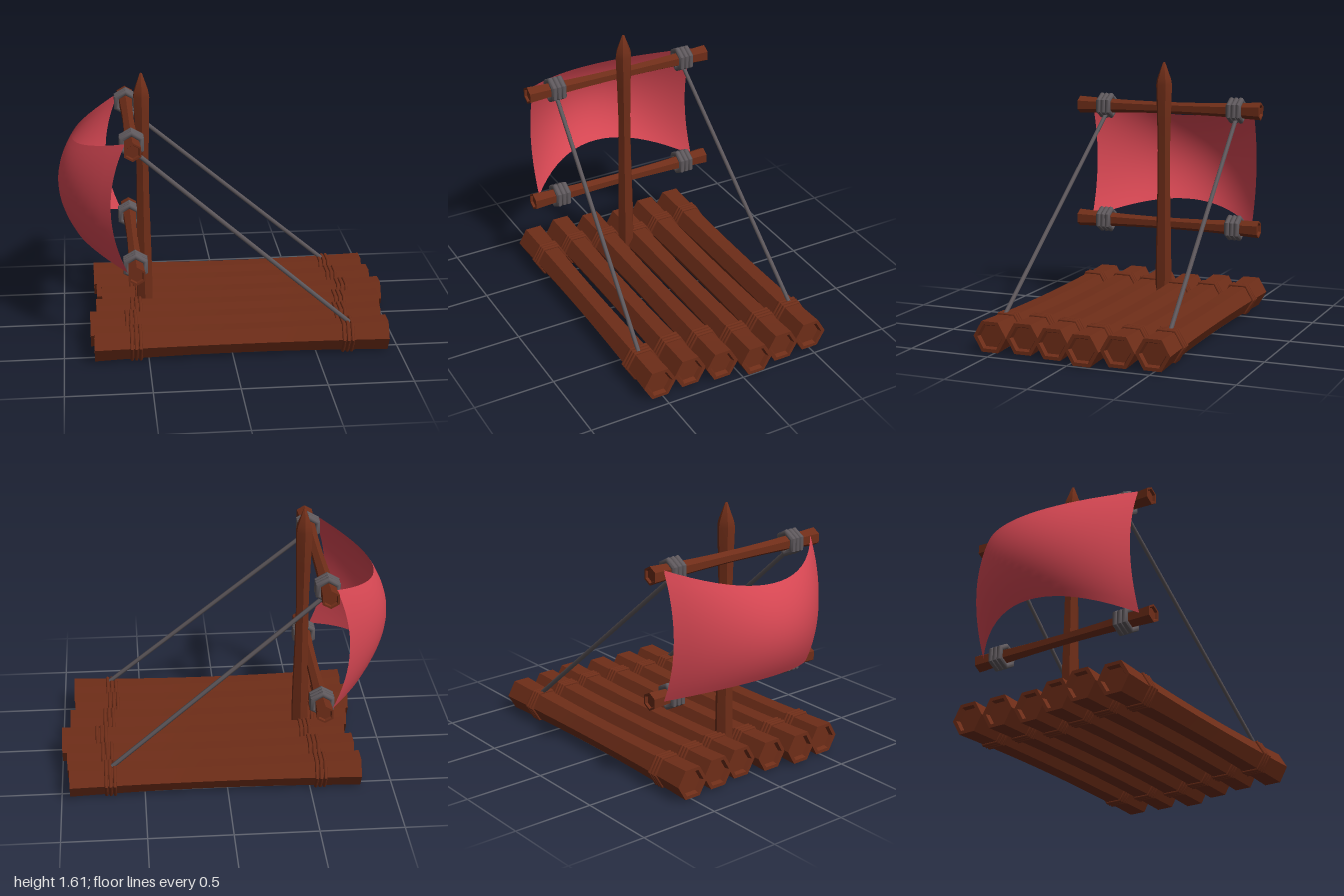
import * as THREE from 'three';
import { toCreasedNormals } from 'three/addons/utils/BufferGeometryUtils.js';

const wood = new THREE.MeshStandardMaterial({ color: 0x6e2d18 });
const rope = new THREE.MeshStandardMaterial({ color: 0x5e585c });
const cloth = new THREE.MeshStandardMaterial({ color: 0xd94854, side: THREE.DoubleSide });

// Six-sided turned shape around y, crisp along its long edges
function hexLathe(profile) {
  const points = profile.map(([r, y]) => new THREE.Vector2(r, y));
  return toCreasedNormals(new THREE.LatheGeometry(points, 6), 0.7);
}

// Pole with a thin waist and recessed ends
function poleGeometry(length, endR, midR, recess) {
  const h = length / 2;
  const profile = [[0, -h + recess], [endR * 0.68, -h + recess], [endR * 0.78, -h]];
  const steps = 12;
  for (let i = 0; i <= steps; i++) {
    const t = (i / steps) * 2 - 1;
    profile.push([midR + (endR - midR) * t * t, t * h]);
  }
  profile.push([endR * 0.78, h], [endR * 0.68, h - recess], [0, h - recess]);
  return hexLathe(profile);
}

// Hexagonal rope ring around y
function ringGeometry(radius, tube) {
  const profile = [];
  for (let i = 0; i <= 10; i++) {
    const a = (i / 10) * Math.PI * 2;
    profile.push([radius + tube * Math.cos(a), tube * Math.sin(a)]);
  }
  return hexLathe(profile);
}

function add(parent, name, geometry, material) {
  const mesh = new THREE.Mesh(geometry, material);
  mesh.name = name;
  parent.add(mesh);
  return mesh;
}

// Three rings side by side on a pole, centred at a height along its axis
function addBinding(parent, name, geometry, material, at, spacing) {
  for (let i = -1; i <= 1; i++) {
    add(parent, name, geometry, material).position.y = at + i * spacing;
  }
}

// Sail billowing towards -x, with hollow top and bottom edges
function sailGeometry() {
  const geometry = new THREE.PlaneGeometry(2, 2, 20, 16);
  const pos = geometry.attributes.position;
  for (let i = 0; i < pos.count; i++) {
    const u = pos.getX(i), v = pos.getY(i);
    const across = 1 - u * u, up = 1 - v * v;
    const x = -0.615 - 0.3 * across - 0.09 * up;
    const y = 0.955 + v * (0.39 - 0.11 * across);
    pos.setXYZ(i, x, y, u * 0.555);
  }
  geometry.computeVertexNormals();
  return geometry;
}

export function createModel() {
  const model = new THREE.Group();
  model.name = 'raft';

  // Deck logs: z, y, left end, right end
  const logs = [
    [0.52, 0.108, -0.82, 0.93], [0.315, 0.112, -0.84, 0.92], [0.115, 0.11, -0.8, 0.95],
    [-0.09, 0.106, -0.76, 1.0], [-0.293, 0.11, -0.79, 0.965], [-0.497, 0.11, -0.805, 0.95],
  ];
  const logRing = ringGeometry(0.1, 0.011);
  for (const [z, y, x0, x1] of logs) {
    const log = new THREE.Group();
    log.name = 'deckLog';
    log.position.set((x0 + x1) / 2, y, z);
    log.rotation.z = -Math.PI / 2;
    const length = x1 - x0;
    add(log, 'log', poleGeometry(length, 0.105, 0.087, 0.025), wood);
    for (const side of [-1, 1]) {
      addBinding(log, 'logBinding', logRing, wood, side * (length / 2 - 0.245), 0.026);
    }
    model.add(log);
  }

  // Mast with a pointed tip
  const mast = add(model, 'mast', hexLathe([
    [0, 0.08], [0.052, 0.08], [0.055, 0.2], [0.053, 0.4], [0.047, 0.65], [0.042, 0.9],
    [0.042, 1.05], [0.047, 1.25], [0.054, 1.47], [0.048, 1.505], [0.008, 1.61], [0, 1.615],
  ]), wood);
  mast.position.x = -0.495;

  // Yards with rope bindings
  const yardGeometry = poleGeometry(1.24, 0.056, 0.037, 0.015);
  const yardRing = ringGeometry(0.064, 0.019);
  for (const [name, x, y] of [['upperYard', -0.575, 1.315], ['lowerYard', -0.565, 0.565]]) {
    const yard = new THREE.Group();
    yard.name = name;
    yard.position.set(x, y, 0);
    yard.rotation.x = Math.PI / 2;
    add(yard, 'yardPole', yardGeometry, wood);
    for (const z of [0.432, -0.457]) {
      addBinding(yard, 'yardBinding', yardRing, rope, z, 0.031);
    }
    model.add(yard);
  }

  add(model, 'sail', sailGeometry(), cloth);

  // Stays from the upper yard down to the outer logs
  for (const [zTop, zEnd] of [[0.43, 0.538], [-0.46, -0.506]]) {
    const path = new THREE.LineCurve3(
      new THREE.Vector3(-0.56, 1.26, zTop), new THREE.Vector3(0.705, 0.185, zEnd));
    add(model, 'stay', new THREE.TubeGeometry(path, 1, 0.014, 6), rope);
  }

  return model;
}
